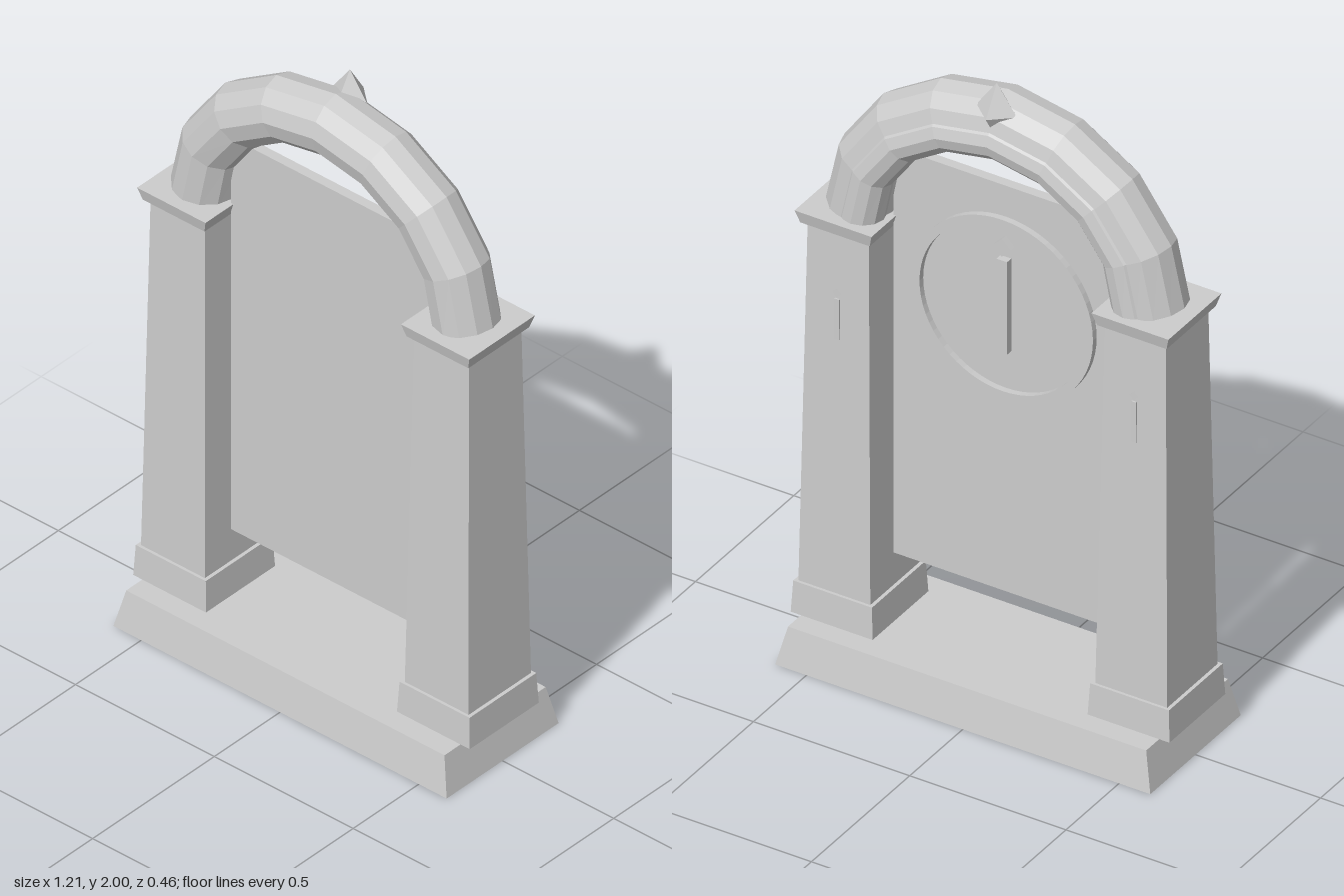
import * as THREE from 'three';

const stone = new THREE.MeshStandardMaterial({ color: 0xcccccc, flatShading: true });
stone.name = 'grey stone';

function add(parent, name, geometry, x = 0, y = 0, z = 0) {
  const mesh = new THREE.Mesh(geometry, stone);
  mesh.name = name;
  mesh.position.set(x, y, z);
  parent.add(mesh);
  return mesh;
}

// Block from y0 to y1 with separate half sizes at the bottom and the top
function taperedBlock(y0, y1, bottomX, bottomZ, topX, topZ) {
  const geometry = new THREE.BoxGeometry(2, y1 - y0, 2);
  geometry.translate(0, (y0 + y1) / 2, 0);
  const p = geometry.attributes.position;
  const middle = (y0 + y1) / 2;
  for (let i = 0; i < p.count; i++) {
    const top = p.getY(i) > middle;
    p.setX(i, p.getX(i) * (top ? topX : bottomX));
    p.setZ(i, p.getZ(i) * (top ? topZ : bottomZ));
  }
  geometry.computeVertexNormals();
  return geometry;
}

// Round tube swept over a half ellipse with radii a and b, closed at both ends
function archTube(a, b, radius, segments, sides) {
  const points = [];
  for (let i = 0; i <= segments; i++) {
    const t = (i / segments) * Math.PI;
    points.push(new THREE.Vector2(a * Math.cos(t), b * Math.sin(t)));
  }
  const positions = [];
  const index = [];
  points.forEach((point, i) => {
    const before = points[Math.max(i - 1, 0)];
    const after = points[Math.min(i + 1, segments)];
    const tangent = after.clone().sub(before).normalize();
    for (let k = 0; k < sides; k++) {
      const phi = (k / sides) * Math.PI * 2;
      const out = radius * Math.cos(phi);
      positions.push(point.x + tangent.y * out, point.y - tangent.x * out, radius * Math.sin(phi));
    }
  });
  const start = positions.length / 3;
  positions.push(points[0].x, points[0].y, 0, points[segments].x, points[segments].y, 0);
  const last = segments * sides;
  for (let k = 0; k < sides; k++) {
    const next = (k + 1) % sides;
    for (let i = 0; i < segments; i++) {
      const r = i * sides;
      index.push(r + k, r + sides + k, r + next, r + next, r + sides + k, r + sides + next);
    }
    index.push(start, k, next, start + 1, last + next, last + k);
  }
  const geometry = new THREE.BufferGeometry();
  geometry.setAttribute('position', new THREE.Float32BufferAttribute(positions, 3));
  geometry.setIndex(index);
  geometry.computeVertexNormals();
  return geometry;
}

// Abstract relief: an upright bar with a small diamond above it
function relief(parent, x, y, z, height, width, depth) {
  const group = new THREE.Group();
  group.name = 'carvedRelief';
  group.position.set(x, y, z);
  parent.add(group);
  add(group, 'reliefBar', new THREE.BoxGeometry(width, height, depth));
  const diamond = add(group, 'reliefDiamond', new THREE.BoxGeometry(width * 1.2, width * 1.2, depth),
    0, height / 2 + width * 1.2, 0);
  diamond.rotation.z = Math.PI / 4;
}

export function createModel() {
  const model = new THREE.Group();
  model.name = 'stoneArchway';

  add(model, 'base', taperedBlock(0, 0.12, 0.6, 0.23, 0.573, 0.208));

  // Matching pillars
  for (const side of [1, -1]) {
    const pillar = new THREE.Group();
    pillar.name = side > 0 ? 'leftPillar' : 'rightPillar';
    pillar.position.x = side * 0.475;
    model.add(pillar);
    add(pillar, 'plinth', taperedBlock(0.12, 0.22, 0.131, 0.142, 0.126, 0.137));
    add(pillar, 'shaft', taperedBlock(0.22, 1.38, 0.115, 0.128, 0.098, 0.108));
    add(pillar, 'capital', taperedBlock(1.38, 1.42, 0.111, 0.125, 0.123, 0.135));
    relief(pillar, 0, 1.1, -0.108, 0.13, 0.016, 0.016);
  }

  // Arch with a slimmer moulding showing at its back
  add(model, 'arch', archTube(0.47, 0.437, 0.097, 8, 12), 0, 1.415, 0);
  add(model, 'archMoulding', archTube(0.437, 0.405, 0.065, 8, 12), 0, 1.415, -0.045);

  // Pointed stone on the crown
  const crown = add(model, 'crownStone', new THREE.OctahedronGeometry(1), 0, 1.91, -0.057);
  crown.scale.set(0.065, 0.09, 0.056);

  // Hanging panel with a raised ring on its back
  add(model, 'panel', new THREE.BoxGeometry(0.72, 1.315, 0.03), 0, 0.9825, 0.005);
  const ring = new THREE.Shape().absarc(0, 0, 0.29, 0, Math.PI * 2, false);
  ring.holes.push(new THREE.Path().absarc(0, 0, 0.265, 0, Math.PI * 2, true));
  add(model, 'panelRing',
    new THREE.ExtrudeGeometry(ring, { depth: 0.02, bevelEnabled: false, curveSegments: 32 }), 0, 1.25, -0.029);
  relief(model, 0, 1.26, -0.02, 0.3, 0.034, 0.024);

  return model;
}
